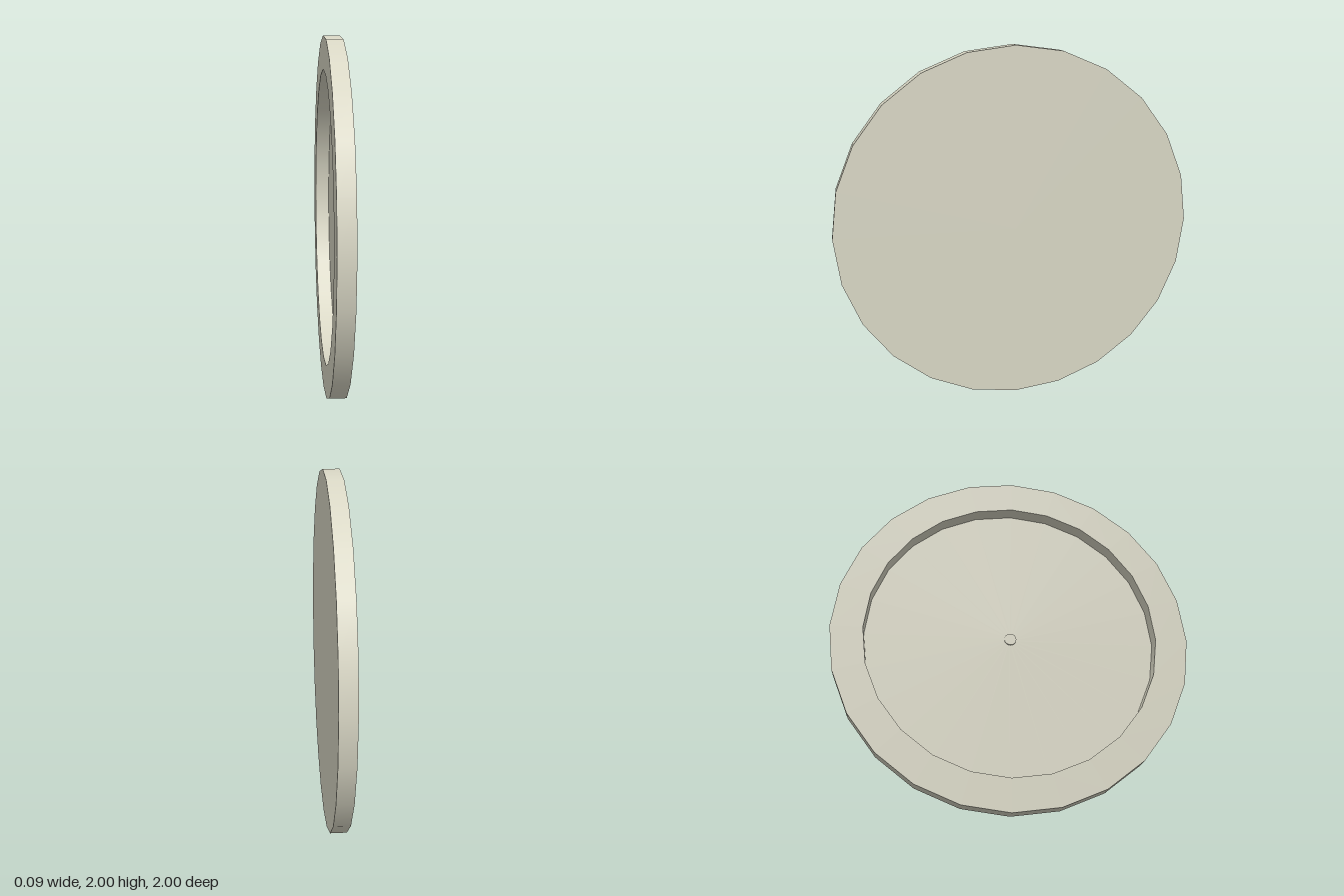
import * as THREE from 'three';
import { mergeGeometries } from 'three/addons/utils/BufferGeometryUtils.js';

const SIDES = 24;
const R = 1, HALF = 0.045;      // outer radius, half thickness
const INNER = 0.82;             // recess radius
const FLOOR = -0.04;            // recess floor height along the axis
const HUB = 0.034, HUB_TOP = -0.032;

// Turns a profile of [radius, height] points, keeping its corners sharp
function turned(profile, sides = SIDES) {
  const bands = [];
  for (let i = 0; i < profile.length - 1; i++) {
    const pair = [profile[i], profile[i + 1]].map(([r, y]) => new THREE.Vector2(r, y));
    bands.push(new THREE.LatheGeometry(pair, sides));
  }
  return mergeGeometries(bands);
}

export function createModel() {
  const group = new THREE.Group();
  const material = new THREE.MeshStandardMaterial({ color: 0xd8d6c4 });

  const disc = new THREE.Group();
  disc.name = 'disc';
  const add = (name, profile) => {
    const mesh = new THREE.Mesh(turned(profile), material);
    mesh.name = name;
    disc.add(mesh);
  };

  // Flat outer face
  add('facePlate', [[0, -HALF], [R, -HALF]]);
  // Raised rim: outer wall, flat lip, inner wall
  add('rim', [[R, -HALF], [R, HALF], [INNER, HALF], [INNER, FLOOR]]);
  // Recess floor
  add('recessFloor', [[INNER, FLOOR], [HUB, FLOOR]]);
  // Small stud at the centre of the recess
  add('centreStud', [[HUB, FLOOR], [HUB, HUB_TOP], [0, HUB_TOP]]);

  // Stand the disc on edge, recess towards -x
  disc.rotation.z = Math.PI / 2;
  disc.position.y = R;
  group.add(disc);
  return group;
}
